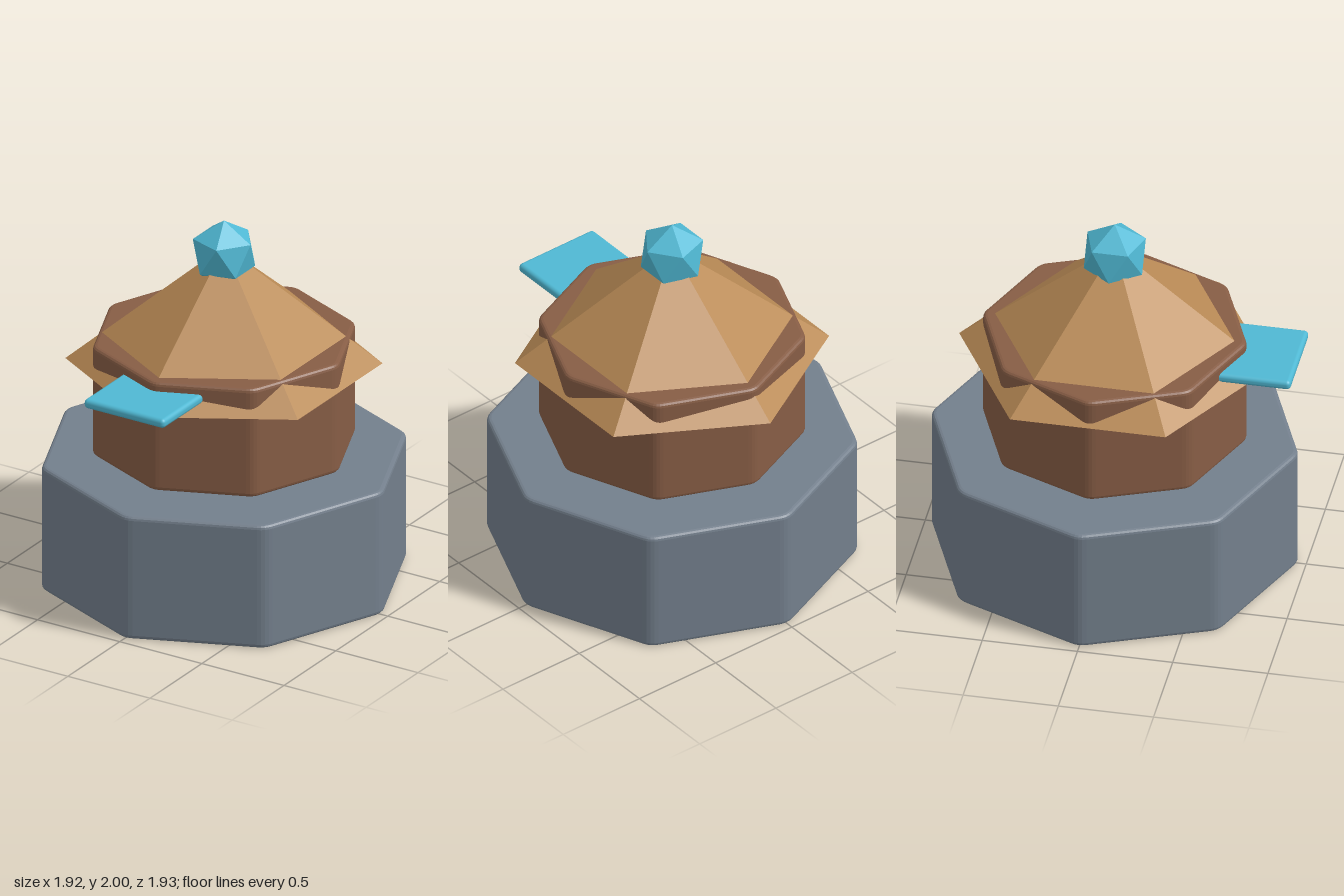
import * as THREE from 'three';
import { RoundedBoxGeometry } from 'three/addons/geometries/RoundedBoxGeometry.js';

const material = (name, color) => {
  const m = new THREE.MeshStandardMaterial({ color });
  m.name = name;
  return m;
};

// Upright prism with softened corners and bevelled rims, one corner facing +z
function softPrism(sides, radius, height, bevel, corner) {
  const pts = Array.from({ length: sides }, (_, i) => {
    const a = (i / sides) * Math.PI * 2 + Math.PI / 2;
    return new THREE.Vector2(Math.cos(a) * radius, Math.sin(a) * radius);
  });
  const shape = new THREE.Shape();
  pts.forEach((p, i) => {
    const prev = pts[(i + sides - 1) % sides];
    const next = pts[(i + 1) % sides];
    const t = corner / p.distanceTo(next);
    const a = p.clone().lerp(prev, t);
    const b = p.clone().lerp(next, t);
    if (i === 0) shape.moveTo(a.x, a.y);
    else shape.lineTo(a.x, a.y);
    shape.quadraticCurveTo(p.x, p.y, b.x, b.y);
  });
  shape.closePath();
  const geo = new THREE.ExtrudeGeometry(shape, {
    depth: height - 2 * bevel, curveSegments: 4, bevelEnabled: true,
    bevelThickness: bevel, bevelSize: bevel, bevelOffset: -bevel, bevelSegments: 3,
  });
  geo.translate(0, 0, bevel);
  geo.rotateX(-Math.PI / 2);
  return geo;
}

export function createModel() {
  const group = new THREE.Group();
  const stone = material('slate stone', 0x737f8c);
  const timber = material('brown timber', 0x875d45);
  const thatch = material('tan roof', 0xb98a55);
  const crystal = material('turquoise crystal', 0x4fb8d3);

  const add = (name, geometry, mat, x, y, z) => {
    const mesh = new THREE.Mesh(geometry, mat);
    mesh.name = name;
    mesh.position.set(x, y, z);
    group.add(mesh);
  };
  const cz = -0.005; // shared axis of the stacked parts

  // Octagonal plinth and the room hovering just above it
  add('stoneBase', softPrism(8, 0.967, 0.695, 0.022, 0.045), stone, 0, 0.005, cz);
  add('walls', softPrism(8, 0.697, 0.615, 0.022, 0.04), timber, 0, 0.74, cz);

  // Six-sided roof; the upper wall corners poke through it
  const roof = new THREE.ConeGeometry(0.817, 0.65, 6).toNonIndexed();
  roof.computeVertexNormals();
  add('roof', roof, thatch, 0, 1.53, cz);

  // Faceted finial standing on one vertex
  const gem = new THREE.IcosahedronGeometry(0.18, 0);
  gem.rotateZ(-Math.atan2(1, (1 + Math.sqrt(5)) / 2));
  add('finial', gem, crystal, 0, 1.82, cz);

  // Flat canopy over the front
  add('canopy', new RoundedBoxGeometry(0.49, 0.052, 0.5, 3, 0.022), crystal, 0, 1.28, 0.715);

  return group;
}
